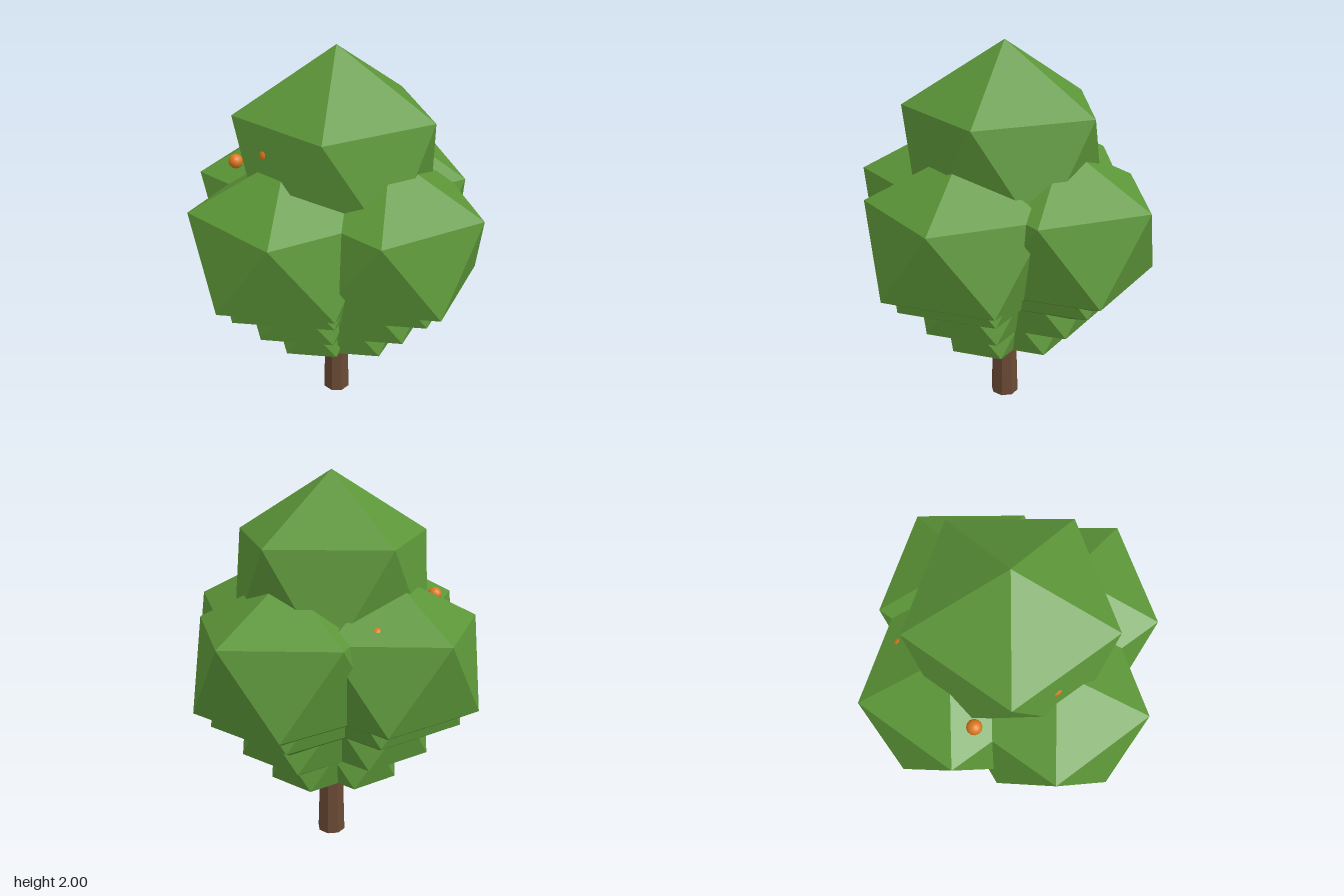
import * as THREE from 'three';

const leaf = new THREE.MeshStandardMaterial({ color: 0x5c9638 });
leaf.name = 'leafGreen';
const bark = new THREE.MeshStandardMaterial({ color: 0x6a4a35 });
bark.name = 'barkBrown';
const orange = new THREE.MeshStandardMaterial({ color: 0xdc781e });
orange.name = 'fruitOrange';

// Faceted icosahedron standing on a vertex, squashed in y
function foliage(name, radius, squash, x, y, z) {
  const geo = new THREE.IcosahedronGeometry(radius, 0);
  geo.rotateZ(Math.atan2(1, (1 + Math.sqrt(5)) / 2));
  geo.rotateY(Math.PI);
  geo.scale(1, squash, 1);
  geo.computeVertexNormals();
  const mesh = new THREE.Mesh(geo, leaf);
  mesh.name = name;
  mesh.position.set(x, y, z);
  return mesh;
}

export function createModel() {
  const tree = new THREE.Group();
  tree.name = 'fruitTree';

  // Tapered eight-sided trunk
  const trunkGeo = new THREE.CylinderGeometry(0.05, 0.077, 0.9, 8)
    .rotateY(Math.PI / 8).toNonIndexed();
  trunkGeo.computeVertexNormals();
  const trunk = new THREE.Mesh(trunkGeo, bark);
  trunk.name = 'trunk';
  trunk.position.y = 0.45;
  tree.add(trunk);

  // Four tiers of four clumps: [radius, distance from trunk, height]
  const tiers = [
    [0.2516, 0.16, 0.519],
    [0.351, 0.246, 0.738],
    [0.47, 0.31, 0.974],
    [0.532, 0.345, 1.088],
  ];
  tiers.forEach(([radius, dist, y], t) => {
    const tier = new THREE.Group();
    tier.name = `foliageTier${t + 1}`;
    for (const [dx, dz, side] of [[1, 0, 'left'], [-1, 0, 'right'], [0, 1, 'front'], [0, -1, 'back']]) {
      tier.add(foliage(`${side}Foliage`, radius, 0.85, dx * dist, y, dz * dist));
    }
    tree.add(tier);
  });

  // Crown
  tree.add(foliage('crownFoliage', 0.57, 1, 0, 1.43, 0));

  // Fruit, mostly tucked into the leaves
  const fruitGeo = new THREE.SphereGeometry(0.038, 12, 10);
  const fruits = [[-0.3, 1.38, -0.43], [0.265, 1.313, -0.469], [-0.407, 1.547, -0.06]];
  fruits.forEach((p, i) => {
    const fruit = new THREE.Mesh(fruitGeo, orange);
    fruit.name = `fruit${i + 1}`;
    fruit.position.set(...p);
    tree.add(fruit);
  });

  return tree;
}
